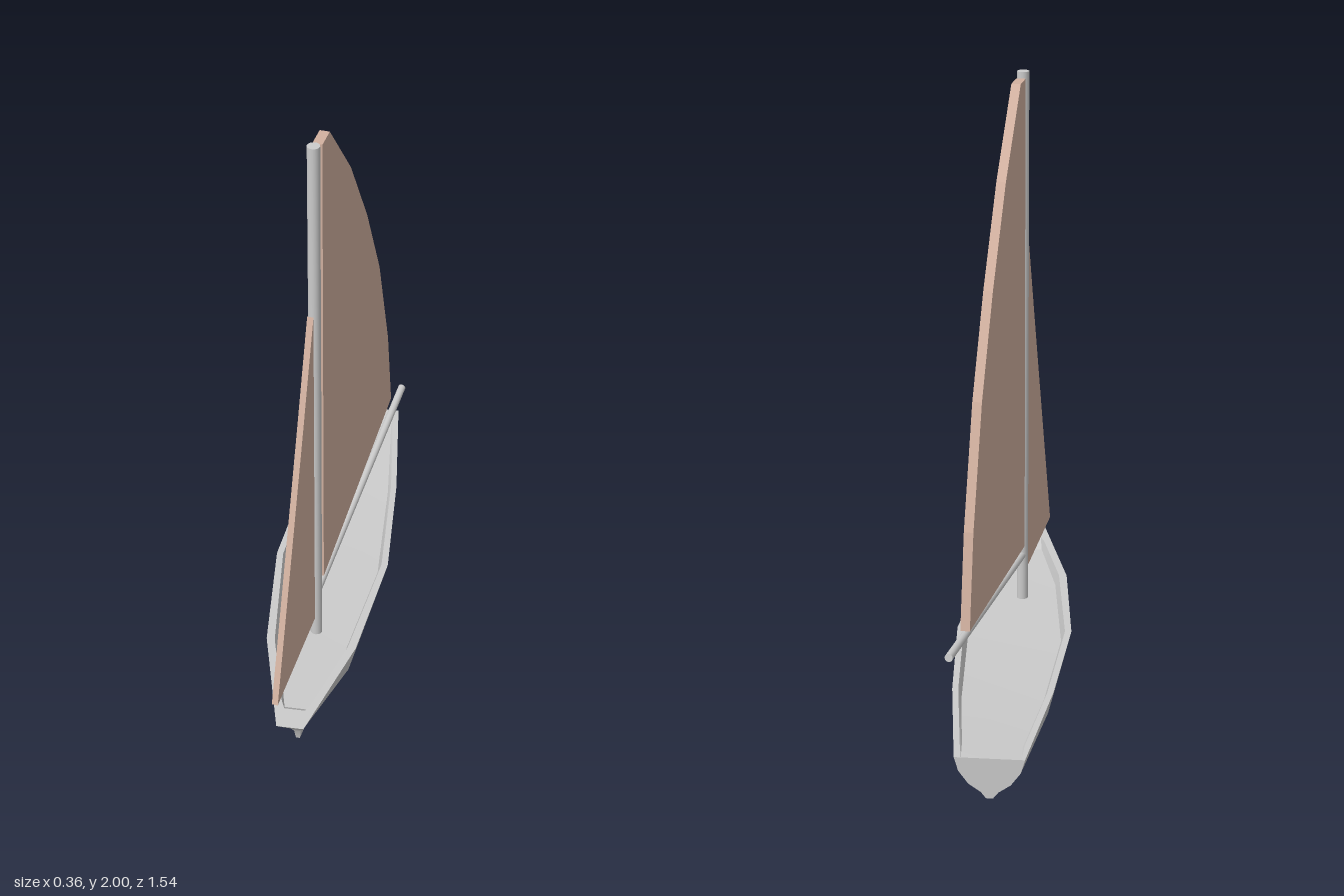
import * as THREE from 'three';
import { mergeGeometries, toCreasedNormals } from 'three/addons/utils/BufferGeometryUtils.js';

const MAST_Z = 0.315;
const SAIL_ANGLE = 0.115;

// Surface through rows of points
function grid(rows) {
  const pos = [];
  for (let i = 0; i < rows.length - 1; i++) {
    for (let j = 0; j < rows[i].length - 1; j++) {
      const a = rows[i][j], b = rows[i + 1][j], c = rows[i + 1][j + 1], d = rows[i][j + 1];
      pos.push(...a, ...b, ...c, ...a, ...c, ...d);
    }
  }
  const g = new THREE.BufferGeometry();
  g.setAttribute('position', new THREE.Float32BufferAttribute(pos, 3));
  return g;
}

const mirror = ([x, y, z]) => [-x, y, z];

// Half sections from keel to rail: z, then [x, y] pairs
const stations = [
  [0.77, [[0.006, 0.14], [0.01, 0.175], [0.018, 0.2], [0.028, 0.25], [0.04, 0.31]]],
  [0.41, [[0.01, 0.05], [0.02, 0.125], [0.06, 0.165], [0.115, 0.215], [0.137, 0.307]]],
  [0.02, [[0.012, 0.005], [0.03, 0.125], [0.1, 0.175], [0.16, 0.235], [0.178, 0.305]]],
  [-0.37, [[0.012, 0.091], [0.03, 0.15], [0.085, 0.185], [0.135, 0.235], [0.15, 0.303]]],
  [-0.77, [[0.01, 0.18], [0.025, 0.2], [0.06, 0.225], [0.088, 0.265], [0.1, 0.308]]],
];
const bowZ = [0.645, 0.652, 0.668, 0.715, 0.77];

// Rail position at any z, along the straight runs between stations
function rail(z) {
  for (let i = 0; i < stations.length - 1; i++) {
    const [z0, p] = stations[i], [z1, q] = stations[i + 1];
    if (z >= z1) {
      const t = (z0 - z) / (z0 - z1);
      return [THREE.MathUtils.lerp(p[4][0], q[4][0], t), THREE.MathUtils.lerp(p[4][1], q[4][1], t), z];
    }
  }
  return [0.1, 0.308, z];
}

function hullGeometry() {
  const halves = stations.map(([z, pts], i) => pts.map(([x, y], k) => [x, y, i === 0 ? bowZ[k] : z]));
  const shell = grid(halves.map((h) => [...h.map(mirror).reverse(), ...h]));
  const across = (h) => h.map((p) => [mirror(p), p]);
  const bow = grid(across(halves[0]).reverse());
  const stern = grid(across(halves[4]));
  return toCreasedNormals(mergeGeometries([shell, bow, stern]), 0.65);
}

// Rail, inner wall and sunken floor: z, inner half width, floor half width, depth
function deckGeometry() {
  const rows = [
    [-0.77, 0.09, 0.08, 0], [-0.69, 0.092, 0.086, 0.006], [-0.37, 0.132, 0.122, 0.025],
    [0.02, 0.158, 0.146, 0.035], [0.41, 0.112, 0.1, 0.035], [0.66, 0.045, 0.036, 0.03],
    [0.695, 0.032, 0.03, 0], [0.77, 0.025, 0.02, 0],
  ].map(([z, inner, floor, depth]) => {
    const edge = rail(z), y = edge[1];
    const half = [[floor, y - depth, z], [inner, y, z], edge];
    return [...half.map(mirror).reverse(), ...half];
  });
  return toCreasedNormals(grid(rows), 0.5);
}

// Flat sail; outline given as [z, y]
function sailGeometry(outline, thickness) {
  const shape = new THREE.Shape(
    outline.map(([z, y]) => new THREE.Vector2((MAST_Z - z) / Math.cos(SAIL_ANGLE), y)));
  const g = new THREE.ExtrudeGeometry(shape, { depth: thickness, bevelEnabled: false });
  g.translate(0, 0, -thickness / 2);
  g.rotateY(Math.PI / 2 - SAIL_ANGLE);
  g.translate(0, 0, MAST_Z);
  return g;
}

// Round pole between two points
function pole(from, to, radius) {
  const a = new THREE.Vector3(...from), b = new THREE.Vector3(...to);
  const dir = b.clone().sub(a);
  const g = new THREE.CylinderGeometry(radius, radius, dir.length(), 16);
  g.applyQuaternion(new THREE.Quaternion().setFromUnitVectors(new THREE.Vector3(0, 1, 0), dir.normalize()));
  const m = a.add(b).multiplyScalar(0.5);
  return g.translate(m.x, m.y, m.z);
}

export function createModel() {
  const group = new THREE.Group();
  const grey = new THREE.MeshStandardMaterial({ color: 0xcccccc });
  const hullGrey = new THREE.MeshStandardMaterial({ color: 0xcccccc, side: THREE.DoubleSide });
  const cloth = new THREE.MeshStandardMaterial({ color: 0xd2b1a0 });
  const add = (name, geometry, material) => {
    const mesh = new THREE.Mesh(geometry, material);
    mesh.name = name;
    group.add(mesh);
  };

  add('hull', hullGeometry(), hullGrey);
  add('deck', deckGeometry(), hullGrey);

  // Spars
  add('mast', pole([0, 0.25, MAST_Z], [0, 2, MAST_Z], 0.018), grey);
  add('boom', pole([0, 0.425, 0.31], [0.13, 0.533, -0.61], 0.012), grey);

  // Sails
  add('mainSail', sailGeometry([
    [0.28, 0.47], [-0.505, 0.565], [-0.45, 0.85], [-0.33, 1.2],
    [-0.18, 1.48], [0, 1.75], [0.21, 1.985], [0.28, 1.985],
  ], 0.028), cloth);
  add('foreSail', sailGeometry([[0.74, 0.365], [0.36, 0.365], [0.355, 1.48], [0.46, 1.17]], 0.018), cloth);

  return group;
}
